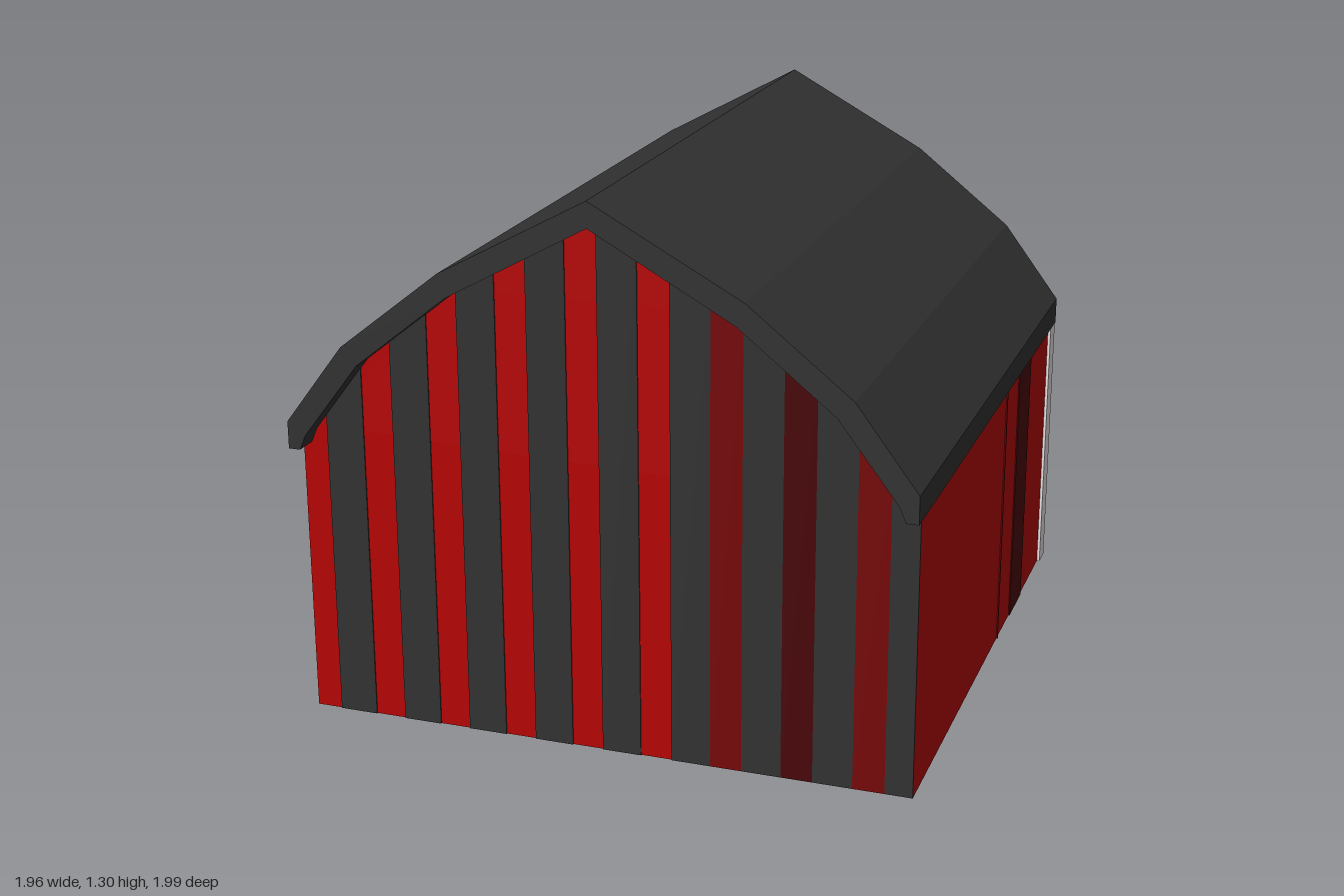
import * as THREE from 'three';

const mat = (name, color) => {
  const m = new THREE.MeshStandardMaterial({ color });
  m.name = name;
  return m;
};

export function createModel() {
  const red = mat('barnRed', 0xb40303);
  const darkRed = mat('darkRed', 0x740608);
  const deepRed = mat('deepRed', 0x480406);
  const gray = mat('roofGray', 0x313131);
  const white = mat('trimWhite', 0xe8e0e2);

  const barn = new THREE.Group();
  barn.name = 'barn';
  const add = (name, geo, material, parent = barn) => {
    const m = new THREE.Mesh(geo, material);
    m.name = name;
    parent.add(m);
    return m;
  };
  // box given by its limits
  const box = (name, x0, x1, y0, y1, z0, z1, material, parent) =>
    add(name, new THREE.BoxGeometry(x1 - x0, y1 - y0, z1 - z0), material, parent)
      .position.set((x0 + x1) / 2, (y0 + y1) / 2, (z0 + z1) / 2);
  const extrude = (pts, depth, z0) => {
    const shape = new THREE.Shape(pts.map(([x, y]) => new THREE.Vector2(x, y)));
    const g = new THREE.ExtrudeGeometry(shape, { depth, bevelEnabled: false });
    return g.translate(0, 0, z0);
  };
  // full symmetric line from right-half points that end on the axis
  const mirror = (half) => [...half, ...half.slice(0, -1).reverse().map(([x, y]) => [-x, y])];

  const W = 0.725, F = 0.709, R = 0.766;

  // walls with gables and floor
  const gable = mirror([[W, 0.666], [0.69, 0.71], [0.555, 0.885], [0.33, 1.065], [0, 1.245]]);
  add('walls', extrude([[-W, 0], [W, 0], ...gable], 2 * F, -F), red);

  // gambrel roof shell
  const outer = mirror([[0.733, 0.665], [0.733, 0.73], [0.59, 0.92], [0.35, 1.11], [0, 1.3]]);
  const inner = mirror([[0.705, 0.665], [0.69, 0.7], [0.553, 0.88], [0.33, 1.058], [0, 1.24]]);
  add('roof', extrude([...outer, ...inner.reverse()], 2 * R, -R), gray);

  // vertical boards on the gable ends, cut to the roof line
  const heightAt = (x) => {
    for (let i = 0; i < gable.length - 1; i++) {
      const [xa, ya] = gable[i], [xb, yb] = gable[i + 1];
      if (x <= xa && x >= xb) return ya + ((yb - ya) * (xa - x)) / (xa - xb);
    }
    return 0.665;
  };
  const board = (name, x0, x1, z0, material) => {
    const top = gable.filter(([x]) => x < x1 && x > x0);
    add(name, extrude([[x0, 0], [x1, 0], [x1, heightAt(x1)], ...top, [x0, heightAt(x0)]], 0.003, z0), material);
  };
  const between = { 5: darkRed, 6: deepRed, 7: darkRed };
  for (let i = 0; i < 9; i++) {
    const x = -0.663 + 0.1655 * i;
    board('frontStripe', x, Math.min(x + 0.092, W), F, gray);
    if (between[i]) board('frontDarkBoard', x + 0.092, x + 0.1655, F, between[i]);
  }
  for (const [x0, x1, m] of [[0.18, 0.265, darkRed], [0.035, 0.1, darkRed], [-0.24, -0.225, darkRed],
    [-0.318, -0.3, gray], [-0.655, -0.565, darkRed]])
    board('backDarkBoard', x0, x1, -F - 0.003, m);

  // dark boards on the long sides
  box('sideDarkBoard', W, W + 0.003, 0, 0.665, -0.465, -0.32, deepRed);
  box('sideThinBoard', W, W + 0.003, 0, 0.665, -0.176, -0.169, darkRed);
  box('sideDarkBoard', -W - 0.003, -W, 0, 0.665, -0.27, -0.1, darkRed);

  // corner posts and cross beam at the back
  for (const s of [-1, 1])
    box('cornerPost', s * 0.7 - 0.032, s * 0.7 + 0.032, 0, 0.664, -0.762, -0.704, white);
  box('crossBeam', -0.67, 0.67, 0.612, 0.664, -0.762, -0.705, white);

  // flat bar between two points on the back wall
  const brace = (name, ax, ay, bx, by, width, parent) => {
    const m = add(name, new THREE.BoxGeometry(Math.hypot(bx - ax, by - ay), width, 0.028), white, parent);
    m.position.set((ax + bx) / 2, (ay + by) / 2, -F - 0.014);
    m.rotation.z = Math.atan2(by - ay, bx - ax);
  };
  // rectangular frame around a thin red panel
  const frame = (name, x0, x1, y0, y1, t, parent) => {
    const z0 = -F - 0.034, z1 = -F;
    box(name + 'Panel', x0 + t, x1 - t, y0 + t, y1 - t, -F - 0.007, z1, red, parent);
    box(name + 'Stile', x0, x0 + t, y0, y1, z0, z1, white, parent);
    box(name + 'Stile', x1 - t, x1, y0, y1, z0, z1, white, parent);
    box(name + 'Rail', x0 + t, x1 - t, y0, y0 + t, z0, z1, white, parent);
    box(name + 'Rail', x0 + t, x1 - t, y1 - t, y1, z0, z1, white, parent);
  };

  // double doors
  for (const s of [-1, 1]) {
    const door = new THREE.Group();
    door.name = 'door';
    barn.add(door);
    frame('door', s > 0 ? 0.001 : -0.342, s > 0 ? 0.342 : -0.001, 0, 0.52, 0.05, door);
    brace('doorBrace', s * 0.06, 0.475, s * 0.285, 0.045, 0.05, door);
  }

  // loft hatch
  const hatch = new THREE.Group();
  hatch.name = 'loftHatch';
  barn.add(hatch);
  frame('hatch', -0.172, 0.172, 0.742, 1.078, 0.036, hatch);
  for (const s of [-1, 1]) brace('hatchBrace', -s * 0.138, 0.777, s * 0.138, 1.043, 0.032, hatch);

  // dark patches under the floor
  const patches = [
    [0.59, -0.44], [0.4, -0.25], [0.39, -0.15], [0.35, -0.37], [0.17, -0.42], [0.15, -0.61], [0.07, -0.59],
    [0.06, -0.27], [-0.09, -0.28], [-0.06, -0.16], [-0.19, 0.01], [-0.16, -0.64], [-0.24, -0.3], [-0.31, -0.21],
    [-0.33, -0.51], [-0.55, -0.57], [-0.41, -0.65], [-0.49, -0.37], [-0.52, 0.13], [-0.48, 0.35], [-0.46, 0.52],
    [-0.33, 0.32], [-0.09, 0.2], [0.01, 0.13], [0.06, 0.19], [0.23, 0.05], [0.29, 0.1], [0.28, 0.34],
    [0.42, 0.31], [0.54, 0.14], [0.44, 0.48], [0.57, 0.63], [0.23, 0.63], [0.13, 0.51], [-0.1, 0.58], [-0.24, 0.48],
  ];
  const patch = (x, z, y, material) => {
    const p = add('floorPatch', new THREE.PlaneGeometry(0.095, 0.095), material);
    p.rotation.x = Math.PI / 2;
    p.position.set(x, y, z);
  };
  patches.forEach(([x, z], i) => patch(x, z, -0.001 - i * 0.00004, i % 3 ? deepRed : darkRed));
  for (const [x, z] of [[0.54, -0.39], [0.22, -0.24], [-0.55, -0.15], [-0.6, 0.04]]) patch(x, z, -0.003, gray);

  // the barn stands turned on its plot
  barn.rotation.y = -0.417;
  const model = new THREE.Group();
  model.name = 'model';
  model.add(barn);
  return model;
}
